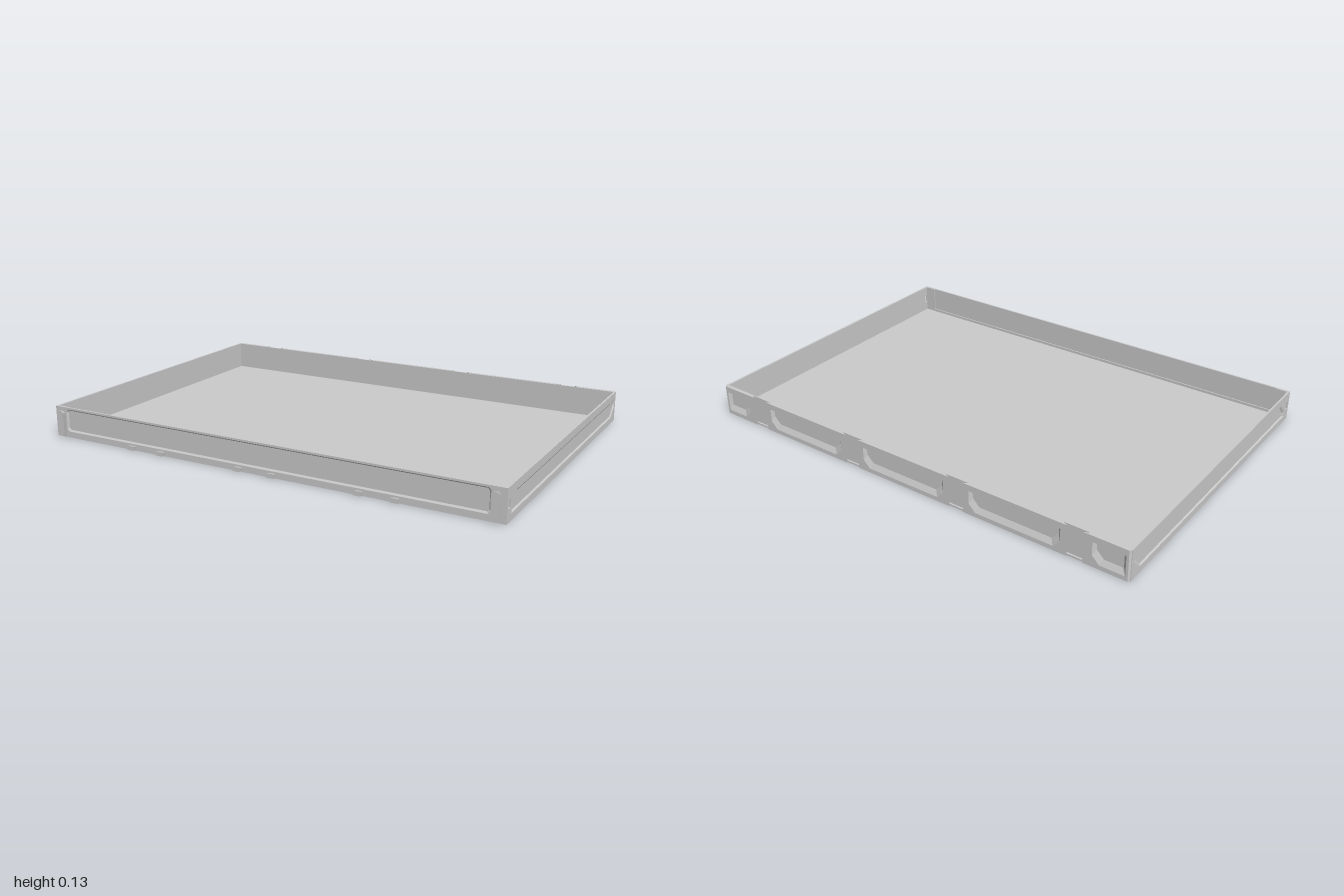
import * as THREE from 'three';

const material = new THREE.MeshStandardMaterial({ color: 0xcccccc, flatShading: true });
const H = 0.13;

// Counter-clockwise rectangle; corner cuts in the order bl, br, tr, tl
function cutRect(x0, y0, x1, y1, [a, b, c, d] = [0, 0, 0, 0]) {
  const pts = [];
  const corner = (k, p, q) => (k ? pts.push(p, q) : pts.push(p));
  corner(a, [x0, y0 + a], [x0 + a, y0]);
  corner(b, [x1 - b, y0], [x1, y0 + b]);
  corner(c, [x1, y1 - c], [x1 - c, y1]);
  corner(d, [x0 + d, y1], [x0, y1 - d]);
  return pts;
}

const mirror = (pts) => pts.map(([u, v]) => [-u, v]).reverse();

// Closed plate facing +z with bevelled pockets, through holes and optional splayed rim
function plate({ outline, back = outline, pockets = [], depth = 0, holes = [], t }) {
  const pos = [];
  const face = (loop, cut, w, flip) => {
    const vecs = (l) => l.map(([u, v]) => new THREE.Vector2(u, v));
    const shape = new THREE.Shape(vecs(loop));
    shape.holes = cut.map((l) => new THREE.Path(vecs(l)));
    const g = new THREE.ShapeGeometry(shape);
    const p = g.attributes.position;
    const idx = g.index.array;
    for (let i = 0; i < idx.length; i += 3) {
      for (const k of flip ? [0, 2, 1] : [0, 1, 2]) pos.push(p.getX(idx[i + k]), p.getY(idx[i + k]), w);
    }
  };
  const ring = (A, wA, B, wB, inward) => {
    for (let i = 0; i < A.length; i++) {
      const j = (i + 1) % A.length;
      const a = [...A[i], wA], b = [...A[j], wA], c = [...B[i], wB], d = [...B[j], wB];
      pos.push(...(inward ? [a, b, c, b, d, c] : [a, c, b, b, c, d]).flat());
    }
  };
  face(outline, [...pockets.map((p) => p.outer), ...holes], 0, false);
  face(back, holes, -t, true);
  ring(outline, 0, back, -t, false);
  for (const { outer, inner } of pockets) {
    ring(outer, 0, inner, -depth, true);
    face(inner, [], -depth, false);
  }
  for (const hole of holes) ring(hole, 0, hole, -t, true);
  const geo = new THREE.BufferGeometry();
  geo.setAttribute('position', new THREE.Float32BufferAttribute(pos, 3));
  geo.computeVertexNormals();
  return geo;
}

export function createModel() {
  const tray = new THREE.Group();
  tray.name = 'tray';
  const add = (name, geo, x = 0, y = 0, z = 0, turn = 0) => {
    const mesh = new THREE.Mesh(geo, material);
    mesh.name = name;
    mesh.position.set(x, y, z);
    mesh.rotation.y = turn;
    tray.add(mesh);
  };
  const box = (name, x0, x1, y0, y1, z0, z1) =>
    add(name, new THREE.BoxGeometry(x1 - x0, y1 - y0, z1 - z0), (x0 + x1) / 2, (y0 + y1) / 2, (z0 + z1) / 2);

  // Floor
  box('floor', -0.995, 0.995, 0, 0.008, -0.688, 0.672);

  // Side walls with a long slanted recess and a small slot near the front
  const cuts = [0, 0.045, 0, 0.045];
  const sideLoops = {
    outline: cutRect(-0.674, 0, 0.684, H),
    outer: cutRect(-0.63, 0.027, 0.67, 0.097, cuts),
    inner: cutRect(-0.622, 0.033, 0.662, 0.089, cuts.map((c) => c * 0.95)),
    slot: cutRect(-0.662, 0.05, -0.648, 0.085, [0.003, 0.003, 0.003, 0.003]),
  };
  for (const s of [1, -1]) {
    const m = s > 0 ? (l) => l : mirror;
    add('sideWall', plate({
      outline: m(sideLoops.outline),
      pockets: [{ outer: m(sideLoops.outer), inner: m(sideLoops.inner) }],
      holes: [m(sideLoops.slot)],
      depth: 0.005, t: 0.009,
    }), s, 0, 0, s * Math.PI / 2);
  }

  // Front wall with a shallow framed panel
  const c4 = (c) => [c, c, c, c];
  add('frontWall', plate({
    outline: cutRect(-1, 0, 1, H),
    pockets: [{
      outer: cutRect(-0.943, 0.026, 0.943, 0.122, c4(0.01)),
      inner: cutRect(-0.936, 0.033, 0.936, 0.117, c4(0.008)),
    }],
    depth: 0.005, t: 0.008,
  }), 0, 0, 0.675);
  box('frontInnerLedge', -0.94, 0.94, 0.008, 0.02, 0.662, 0.668);
  for (const s of [1, -1]) {
    box('frontCornerPost', s * 0.966 - 0.026, s * 0.966 + 0.026, 0.008, H, 0.663, 0.668);
  }

  // Dovetail connectors on the front: tall ones at the ends, small ones along the base
  const connector = (name, x, w, y0, y1, c) => add(name, plate({
    outline: cutRect(-w, y0, w, y1, [0.002, 0.002, c, c]),
    back: cutRect(-w + 0.006, y0, w - 0.006, y1 - 0.004, [0.002, 0.002, c, c]),
    t: 0.019,
  }), x, 0, 0.692);
  for (const s of [1, -1]) {
    connector('endConnector', s * 0.964, 0.017, 0.008, 0.116, 0.008);
    for (const x of [0.075, 0.445, 0.592]) connector('baseConnector', s * x, 0.017, 0.004, 0.022, 0.002);
  }

  // Back wall: thin sheet carrying pocketed blocks, with dovetail channels between them
  box('backSheet', -0.995, 0.995, 0, H, -0.681, -0.676);
  const block = (f0, f1, b0, b1, p0, p1, left, right) => plate({
    outline: cutRect(f0, 0, f1, H),
    back: cutRect(b0, 0, b1, H),
    pockets: [{
      outer: cutRect(p0, 0.018, p1, 0.104, [left, right, 0, 0]),
      inner: cutRect(p0 + 0.012, 0.042, p1 - 0.012, 0.1, [left, right, 0, 0]),
    }],
    depth: 0.0105, t: 0.0115,
  });
  for (const x of [-0.52, 0, 0.52]) {
    add('backBlock', block(-0.228, 0.228, -0.205, 0.205, -0.2, 0.2, 0.03, 0.03), x, 0, -0.692, Math.PI);
  }
  add('backEndBlock', block(0.812, 0.992, 0.835, 1, 0.85, 0.982, 0.03, 0.004), 0, 0, -0.692, Math.PI);
  add('backEndBlock', block(-0.992, -0.812, -1, -0.835, -0.982, -0.85, 0.004, 0.03), 0, 0, -0.692, Math.PI);
  return tray;
}
